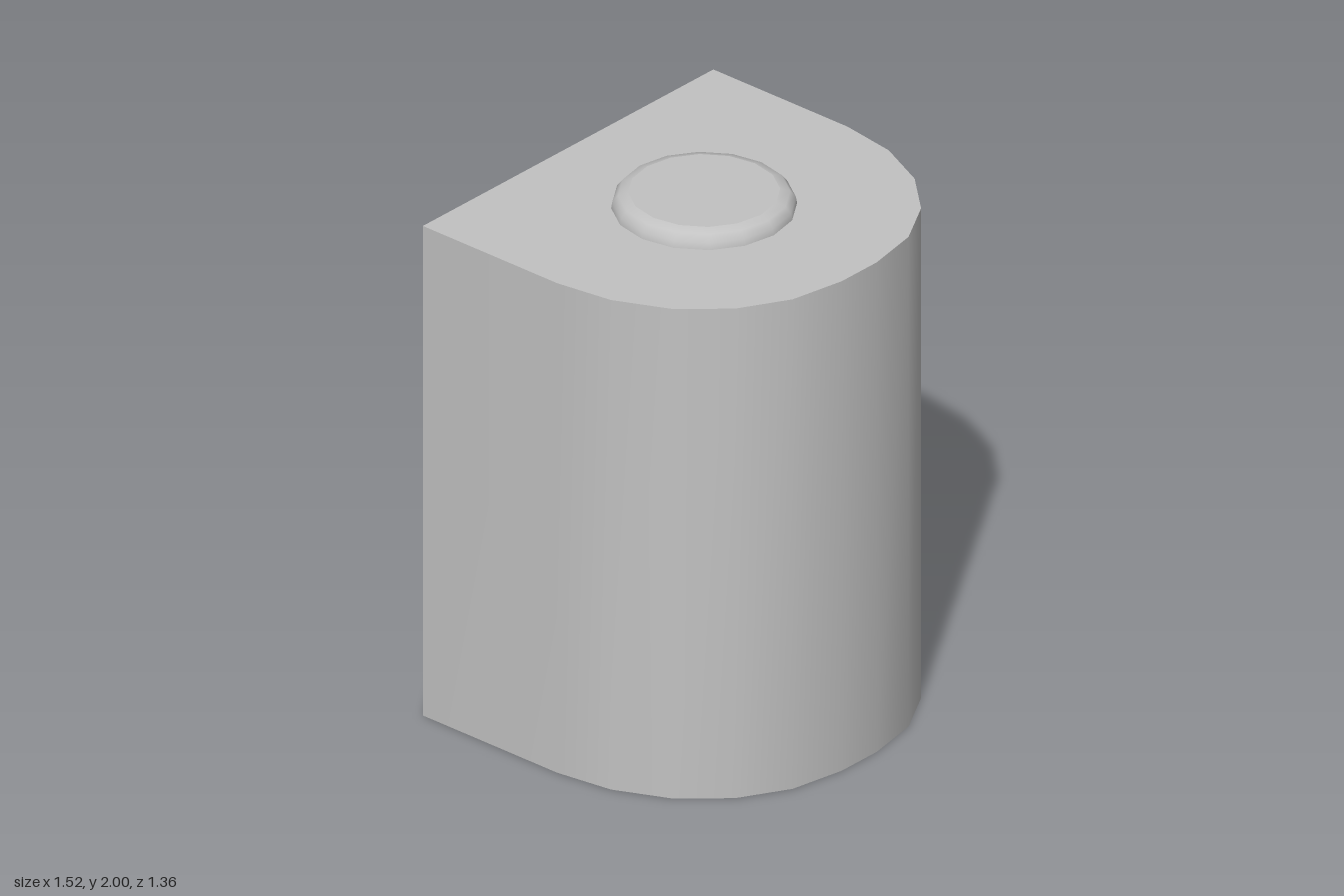
import * as THREE from 'three';

const HEIGHT = 1.94;

export function createModel() {
  const grey = new THREE.MeshStandardMaterial({ color: 0xc2c2c2, side: THREE.DoubleSide });
  grey.name = 'plain grey';
  const model = new THREE.Group();
  model.name = 'roundFrontedBody';

  function add(name, geometry, x = 0, y = 0, z = 0) {
    const mesh = new THREE.Mesh(geometry, grey);
    mesh.name = name;
    mesh.position.set(x, y, z);
    model.add(mesh);
    return mesh;
  }

  // Plan outline as [x, z]: left half from the back corner, then mirrored
  const half = [[0.76, -0.68], [0.76, -0.055], [0.727, 0.166], [0.633, 0.37],
    [0.487, 0.53], [0.303, 0.635], [0.092, 0.675]];
  const outline = [...half, ...half.map(([x, z]) => [-x, z]).reverse()];

  // Sides and rounded front, one smooth strip, open underneath
  const positions = [];
  const indices = [];
  outline.forEach(([x, z], i) => {
    positions.push(x, 0, z, x, HEIGHT, z);
    if (i < outline.length - 1) {
      const a = i * 2;
      indices.push(a, a + 1, a + 2, a + 1, a + 3, a + 2);
    }
  });
  const wall = new THREE.BufferGeometry();
  wall.setAttribute('position', new THREE.Float32BufferAttribute(positions, 3));
  wall.setIndex(indices);
  wall.computeVertexNormals();
  add('curvedWall', wall);

  // Flat back
  add('backWall', new THREE.PlaneGeometry(1.52, HEIGHT).rotateY(Math.PI), 0, HEIGHT / 2, -0.68);

  // Flat top
  const plan = new THREE.Shape(outline.map(([x, z]) => new THREE.Vector2(x, -z)));
  add('topPanel', new THREE.ShapeGeometry(plan).rotateX(-Math.PI / 2), 0, HEIGHT, 0);

  // Raised round button with a soft rim
  const rim = [[0.324, 0], [0.32, 0.025], [0.3, 0.05], [0.265, 0.06]]
    .map(([r, y]) => new THREE.Vector2(r, y));
  add('buttonRim', new THREE.LatheGeometry(rim, 16), 0, HEIGHT, -0.047);
  add('buttonTop', new THREE.CircleGeometry(0.265, 16).rotateX(-Math.PI / 2), 0, 2, -0.047);

  return model;
}
